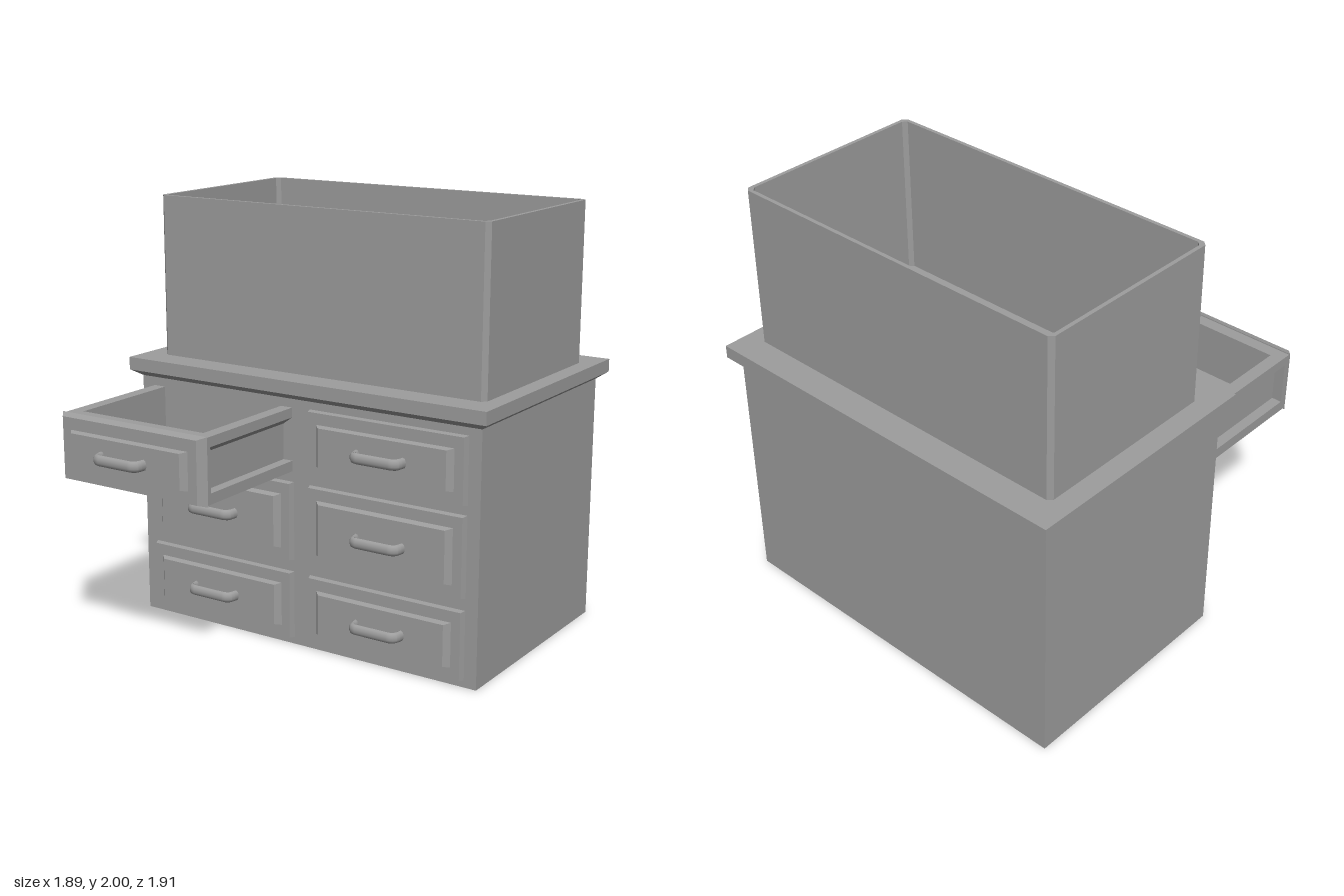
import * as THREE from 'three';

const grey = new THREE.MeshStandardMaterial({ color: 0x9d9d9d });

function add(parent, geometry, name, x = 0, y = 0, z = 0) {
  const mesh = new THREE.Mesh(geometry, grey);
  mesh.name = name;
  mesh.position.set(x, y, z);
  parent.add(mesh);
  return mesh;
}

// Box given by its limits
function boxBetween(parent, name, x0, x1, y0, y1, z0, z1) {
  return add(parent, new THREE.BoxGeometry(x1 - x0, y1 - y0, z1 - z0), name,
    (x0 + x1) / 2, (y0 + y1) / 2, (z0 + z1) / 2);
}

// Box from z = 0 to z = d whose front face is drawn in by insetX and insetY
function bevelledPanel(w, h, d, insetX, insetY) {
  const g = new THREE.BoxGeometry(w, h, d);
  const p = g.attributes.position;
  for (let i = 0; i < p.count; i++) {
    if (p.getZ(i) > 0) {
      p.setX(i, p.getX(i) - Math.sign(p.getX(i)) * insetX);
      p.setY(i, p.getY(i) - Math.sign(p.getY(i)) * insetY);
    }
  }
  g.translate(0, 0, d / 2);
  g.computeVertexNormals();
  return g;
}

// Rectangle outline with cut corners
function cutRect(target, w, d, c) {
  const a = w / 2, b = d / 2;
  target.setFromPoints([
    [-a + c, -b], [a - c, -b], [a, -b + c], [a, b - c],
    [a - c, b], [-a + c, b], [-a, b - c], [-a, -b + c], [-a + c, -b],
  ].map(([x, y]) => new THREE.Vector2(x, y)));
  return target;
}

// Bar pull standing on z = 0
function handleGeometry() {
  const pts = [[-0.118, -0.005], [-0.113, 0.03], [-0.106, 0.046], [-0.088, 0.054],
    [0.088, 0.054], [0.106, 0.046], [0.113, 0.03], [0.118, -0.005]]
    .map(([x, z]) => new THREE.Vector3(x, 0, z));
  const path = new THREE.CurvePath();
  for (let i = 1; i < pts.length; i++) path.add(new THREE.LineCurve3(pts[i - 1], pts[i]));
  const g = new THREE.TubeGeometry(path, 48, 0.016, 10, false);
  g.scale(1, 1.55, 1);
  g.computeVertexNormals();
  return g;
}

// Drawer front: bevelled plate, raised panel and pull
function drawerFront(name, w, h, plate, bevel, marginX, marginY, handleX) {
  const g = new THREE.Group();
  g.name = name;
  const panelW = w - 2 * marginX, panelH = h - 2 * marginY;
  // Bevels keep the proportions of the face
  add(g, bevelledPanel(w, h, plate, bevel, bevel * h / w), 'drawerPlate');
  add(g, bevelledPanel(panelW, panelH, 0.027, 0.024, 0.024 * panelH / panelW), 'raisedPanel', 0, 0, plate);
  add(g, handleGeometry(), 'handle', handleX, 0, plate + 0.023);
  return g;
}

// Pulled-out tray with recessed side walls
function drawerTray() {
  const g = new THREE.Group();
  g.name = 'openDrawerTray';
  const cx = -0.442, half = 0.392, y0 = 0.826, y1 = 1.12, z0 = 0.205, z1 = 0.832;
  // Wall section: the groove has a sloped upper lip
  const section = new THREE.Shape([
    [0, y0], [0.06, y0], [0.06, 0.875], [0.012, 0.875],
    [0.012, 1.04], [0.06, 1.075], [0.06, y1], [0, y1],
  ].map(([x, y]) => new THREE.Vector2(x, y)));
  for (const side of [1, -1]) {
    const wall = new THREE.Group();
    wall.name = side > 0 ? 'leftTrayWall' : 'rightTrayWall';
    wall.position.x = cx + side * (half - 0.06);
    if (side < 0) wall.rotation.y = Math.PI;
    add(wall, new THREE.ExtrudeGeometry(section, { depth: z1 - z0, bevelEnabled: false }),
      'groovedWall', 0, 0, side > 0 ? z0 : -z1);
    const endZ = side * (z1 - 0.015);
    boxBetween(wall, 'wallEnd', 0.005, 0.06, y0 + 0.02, y1 - 0.02, endZ - 0.015, endZ + 0.015);
    g.add(wall);
  }
  boxBetween(g, 'trayFloor', cx - 0.335, cx + 0.335, y0, 0.87, z0, z1);
  boxBetween(g, 'trayFrontWall', cx - 0.333, cx + 0.333, y0, y1, 0.77, z1);
  return g;
}

export function createModel() {
  const model = new THREE.Group();
  model.name = 'dresser';

  // Cabinet and worktop
  boxBetween(model, 'cabinetBody', -0.903, 0.903, 0, 1.18, -0.9, 0.208);
  const cornice = add(model, bevelledPanel(1.89, 1.2, 0.03, 0.042, 0.045), 'worktopMoulding', 0, 1.19, -0.347);
  cornice.rotation.x = Math.PI / 2;
  boxBetween(model, 'worktop', -0.945, 0.945, 1.19, 1.25, -0.95, 0.255);

  // Open-topped upper bin
  const outline = cutRect(new THREE.Shape(), 1.71, 0.93, 0.02);
  outline.holes.push(cutRect(new THREE.Path(), 1.674, 0.894, 0.018));
  const bin = add(model, new THREE.ExtrudeGeometry(outline, { depth: 0.75, bevelEnabled: false }),
    'upperBin', 0.009, 1.25, -0.348);
  bin.rotation.x = -Math.PI / 2;

  // Two columns of drawers, the top right one pulled out
  const rows = [['bottom', 0.192, 0.32], ['middle', 0.592, 0.37], ['top', 0.973, 0.304]];
  for (const [side, x, handleX] of [['Left', 0.443, -0.004], ['Right', -0.442, -0.011]]) {
    for (const [row, y, h] of rows) {
      const open = side === 'Right' && row === 'top';
      const front = open
        ? drawerFront('openDrawerFront', 0.795, h, 0.036, 0.03, 0.076, 0.066, handleX)
        : drawerFront(row + side + 'Drawer', 0.8, h, 0.028, 0.01, 0.054, 0.057, handleX);
      front.position.set(x, y, open ? 0.83 : 0.207);
      model.add(front);
    }
  }
  model.add(drawerTray());
  return model;
}
